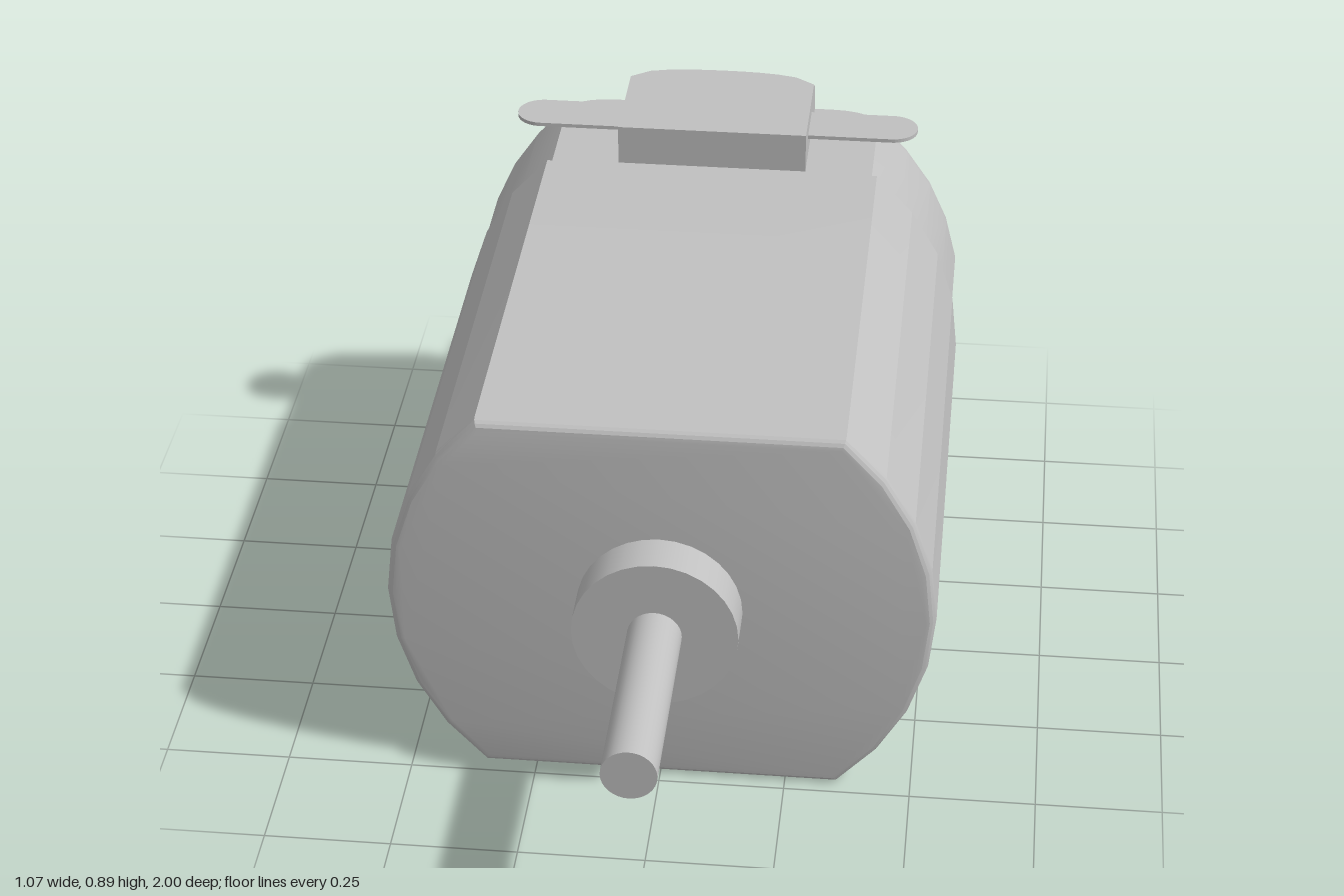
import * as THREE from 'three';
import { toCreasedNormals } from 'three/addons/utils/BufferGeometryUtils.js';

const AXIS = 0.405;   // height of the shaft axis, also half the distance between the flats
const BACK = -0.87, SEAM = -0.575, FRONT = 0.475;
const CAP_R = 0.53, FILLET = 0.06;

// Round outline cut by two flats, anticlockwise from +z; optional side grooves
function outline(R, h, groove) {
  const half = [];
  const limit = Math.asin(h / R);
  const arc = (a, b, n) => {
    for (let i = 0; i <= n; i++) {
      const t = a + (b - a) * i / n;
      half.push([R * Math.cos(t), R * Math.sin(t)]);
    }
  };
  if (groove) {
    const r = 0.083, cx = 0.49, mouth = Math.asin(r / R);
    arc(-limit, -mouth, 4);
    for (let i = 0; i <= 12; i++) {
      const t = -Math.PI / 2 + Math.PI * i / 12;
      const y = r * Math.sin(t);
      half.push([Math.min(cx - r * Math.cos(t), Math.sqrt(R * R - y * y) - 0.0005), y]);
    }
    arc(mouth, limit, 4);
  } else arc(-limit, limit, 8);
  return [...half, ...half.map(([x, y]) => [-x, -y])];
}

// Skin between outlines ordered from back to front, closed at both ends
function loft(rings) {
  const pos = [], index = [], n = rings[0].pts.length;
  rings.forEach(({ pts, z }) => pts.forEach(([x, y]) => pos.push(x, y, z)));
  for (let k = 0; k < rings.length - 1; k++) {
    for (let i = 0; i < n; i++) {
      const a = k * n + i, b = k * n + (i + 1) % n;
      index.push(a, b, b + n, a, b + n, a + n);
    }
  }
  const close = (k, flip) => {
    const contour = rings[k].pts.map(([x, y]) => new THREE.Vector2(x, y));
    for (const [a, b, c] of THREE.ShapeUtils.triangulateShape(contour, [])) {
      const o = k * n;
      index.push(o + a, o + (flip ? c : b), o + (flip ? b : c));
    }
  };
  close(0, true);
  close(rings.length - 1, false);
  const g = new THREE.BufferGeometry();
  g.setAttribute('position', new THREE.Float32BufferAttribute(pos, 3));
  g.setIndex(index);
  return toCreasedNormals(g, 0.21);
}

// Depth of the rounded back rim at a distance r from the axis
function rimZ(r) {
  const d = Math.min(Math.max(r - (CAP_R - FILLET), 0), FILLET);
  return BACK + FILLET - Math.sqrt(FILLET * FILLET - d * d);
}

export function createModel() {
  const model = new THREE.Group();
  const steel = new THREE.MeshStandardMaterial({ color: 0xc0c0c0 });
  steel.name = 'light grey metal';

  const add = (name, geometry, x = 0, y = AXIS, z = 0) => {
    const mesh = new THREE.Mesh(geometry, steel);
    mesh.name = name;
    mesh.position.set(x, y, z);
    model.add(mesh);
    return mesh;
  };

  // Main can with a small rounded front edge
  const can = [{ pts: outline(0.537, AXIS), z: SEAM }];
  for (let i = 0; i <= 4; i++) {
    const t = Math.PI / 2 * i / 4, inset = 0.02 * (1 - Math.cos(t));
    can.push({ pts: outline(0.537 - inset, AXIS - inset), z: FRONT - 0.02 + 0.02 * Math.sin(t) });
  }
  add('motorCan', loft(can));

  // Rear cap with rounded rim and two side grooves
  const cap = [];
  for (let i = 0; i <= 6; i++) {
    const t = Math.PI / 2 * i / 6;
    cap.push({
      pts: outline(CAP_R - FILLET + FILLET * Math.sin(t), AXIS, true),
      z: BACK + FILLET * (1 - Math.cos(t)),
    });
  }
  cap.push({ pts: outline(CAP_R, AXIS, true), z: SEAM });
  add('rearCap', loft(cap));

  // Terminal block whose back follows the rounded rim
  const block = new THREE.BoxGeometry(0.4, 0.095, 0.29, 10, 4, 1);
  block.translate(0, 0.4425, -0.725);
  const p = block.attributes.position;
  for (let i = 0; i < p.count; i++) {
    if (p.getZ(i) < -0.8) p.setZ(i, rimZ(Math.hypot(p.getX(i), p.getY(i))));
  }
  add('terminalBlock', toCreasedNormals(block, 0.5));

  // Thin terminal tabs with rounded ends
  for (const side of [1, -1]) {
    const tab = new THREE.Shape();
    tab.moveTo(0.19, -0.054);
    tab.lineTo(0.378, -0.054);
    tab.absarc(0.378, 0, 0.054, -Math.PI / 2, Math.PI / 2, false);
    tab.lineTo(0.19, 0.054);
    const g = new THREE.ExtrudeGeometry(tab, { depth: 0.008, bevelEnabled: false, curveSegments: 12 });
    g.translate(0, 0, -0.004).rotateX(-Math.PI / 2);
    if (side < 0) g.rotateY(Math.PI);
    add(side > 0 ? 'leftTerminal' : 'rightTerminal', g, 0, 0.855, -0.705);
  }

  // Rear bearing housing with a flat underside
  const cut = Math.asin(0.21 / 0.27);
  const housing = new THREE.Shape();
  housing.absarc(0, 0, 0.27, -cut, Math.PI + cut, false);
  const hg = new THREE.ExtrudeGeometry(housing, { depth: 0.14, bevelEnabled: false, curveSegments: 20 });
  add('rearBearingHousing', hg, 0, AXIS, -1);

  // Front bearing and shaft
  const rod = (name, r, z0, z1) => {
    const g = new THREE.CylinderGeometry(r, r, z1 - z0, 32);
    g.rotateX(Math.PI / 2);
    add(name, g, 0, AXIS, (z0 + z1) / 2);
  };
  rod('frontBearing', 0.162, 0.46, 0.565);
  rod('shaft', 0.053, 0.5, 1);

  return model;
}
